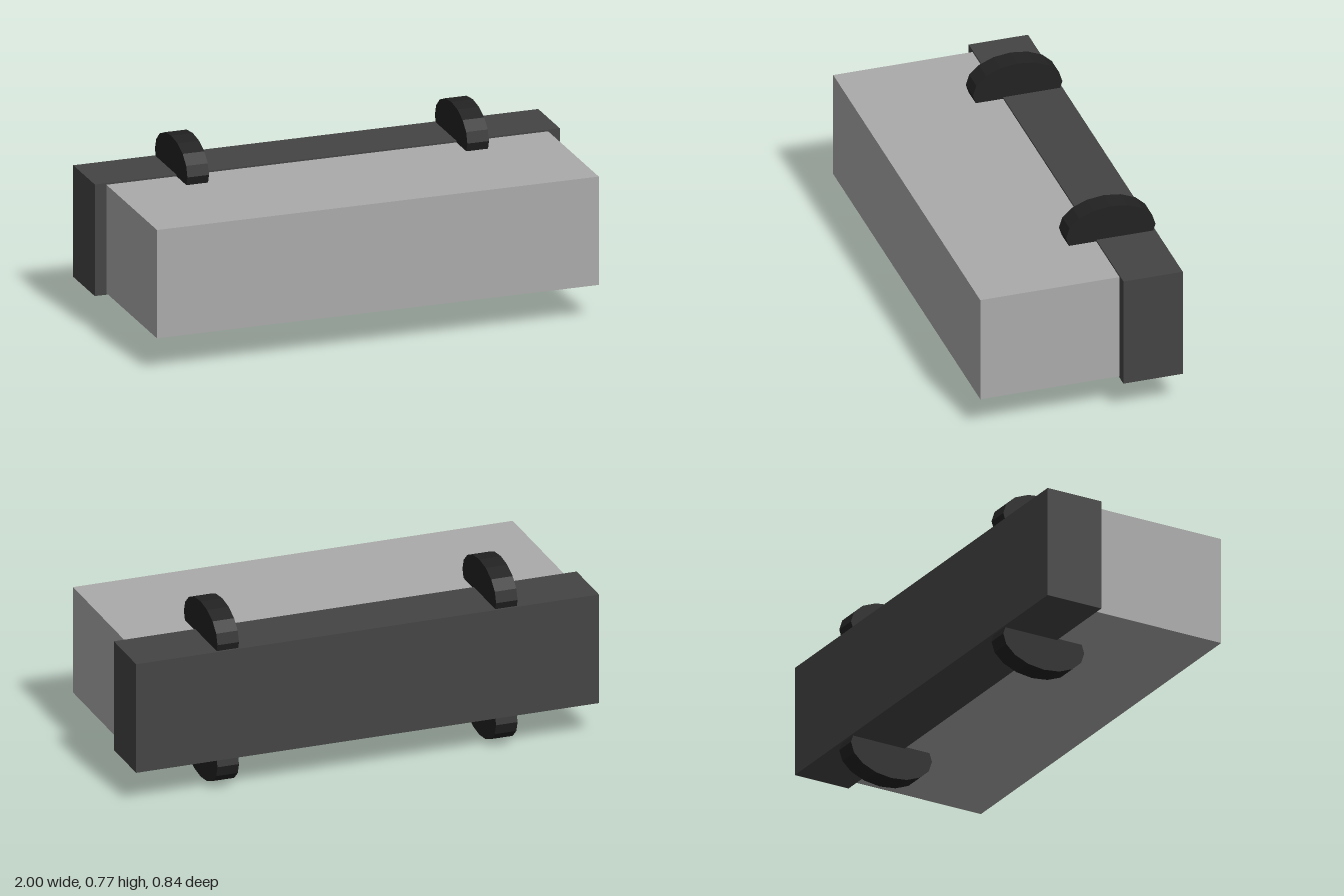
import * as THREE from 'three';

export function createModel() {
  const model = new THREE.Group();
  const material = (name, color) => {
    const m = new THREE.MeshStandardMaterial({ color });
    m.name = name;
    return m;
  };
  const lightGrey = material('light grey', 0xaaaaaa);
  const darkGrey = material('dark grey', 0x444444);
  const black = material('near black', 0x222222);
  black.flatShading = true;

  const add = (name, geometry, mat, x, y, z) => {
    const mesh = new THREE.Mesh(geometry, mat);
    mesh.name = name;
    mesh.position.set(x, y, z);
    model.add(mesh);
  };

  // Main body and the slightly larger rear cover
  const midY = 0.385;
  add('body', new THREE.BoxGeometry(1.9, 0.463, 0.592), lightGrey, 0, midY, 0.126);
  add('rearCover', new THREE.BoxGeometry(2, 0.477, 0.252), darkGrey, 0, midY, -0.296);

  // Four oval lugs, half sunk into the top and bottom
  const lug = new THREE.CylinderGeometry(1, 1, 0.093, 16)
    .rotateZ(Math.PI / 2)
    .scale(1, 0.117, 0.19);
  for (const side of [-1, 1]) {
    for (const level of [-1, 1]) {
      const name = (level > 0 ? 'top' : 'bottom') + (side > 0 ? 'Left' : 'Right') + 'Lug';
      add(name, lug, black, side * 0.602, midY + level * 0.268, -0.232);
    }
  }
  return model;
}
